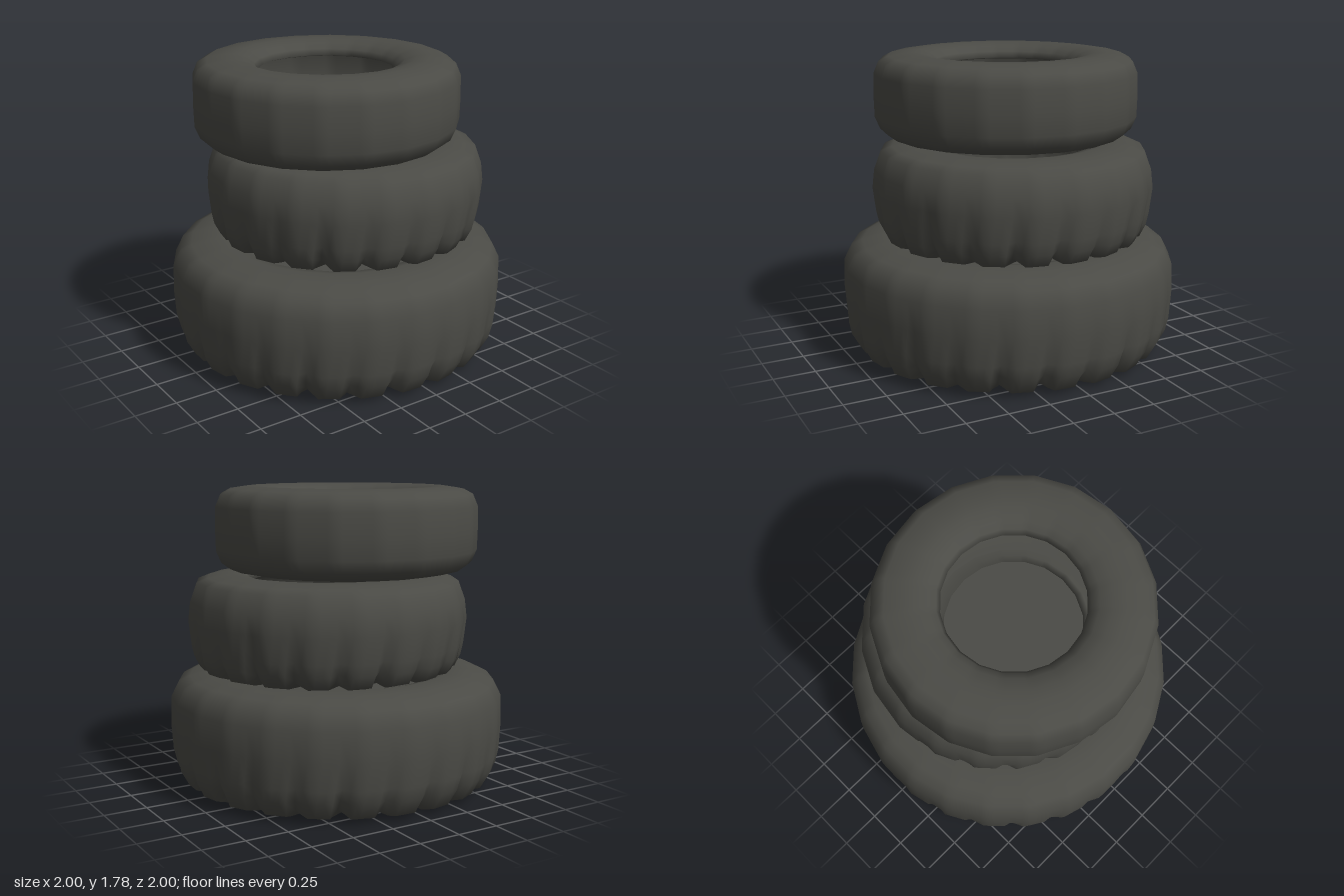
import * as THREE from 'three';
import { mergeVertices } from 'three/addons/utils/BufferGeometryUtils.js';

const STEPS = 6; // columns per side of the tyre

// Hollow ring swept from a closed profile of [radius, height], faceted to `sides`.
// `groove` carves slanted tread notches into the lower outside edge.
function tyreGeometry(profile, sides, phase, groove) {
  const pts = [...profile, profile[0]].map(([r, y]) => new THREE.Vector2(r, y));
  const geo = new THREE.LatheGeometry(pts, sides * STEPS);
  const p = geo.attributes.position;
  const cut = [0, 0, 0, 0, 1, 0.5]; // steep on one flank, soft on the other
  const half = Math.PI / sides;
  for (let i = 0; i < p.count; i++) {
    const column = Math.floor(i / pts.length) % (sides * STEPS);
    const point = pts[i % pts.length];
    let r = point.x, y = point.y;
    let angle = column * half * 2 / STEPS;
    const local = (column % STEPS) * half * 2 / STEPS - half;
    r *= Math.cos(half) / Math.cos(local);
    if (groove && y < groove.top && point.x > groove.inner) {
      const fade = 1 - y / groove.top;
      const side = Math.floor(column / STEPS);
      const depth = cut[column % STEPS] * fade * (0.8 + 0.2 * Math.sin(side * 2.3));
      r -= groove.depth * depth;
      y += groove.lift * depth * fade;
      angle -= groove.slant * fade;
    }
    p.setXYZ(i, r * Math.sin(angle + phase * half), y, r * Math.cos(angle + phase * half));
  }
  geo.deleteAttribute('uv');
  geo.deleteAttribute('normal');
  const welded = mergeVertices(geo, 1e-4);
  welded.computeVertexNormals();
  return welded;
}

export function createModel() {
  const model = new THREE.Group();
  const rubber = new THREE.MeshStandardMaterial({ color: 0x4b4b46, side: THREE.DoubleSide });
  rubber.name = 'dark rubber';

  const add = (name, geometry, x, y, z) => {
    const mesh = new THREE.Mesh(geometry, rubber);
    mesh.name = name;
    mesh.position.set(x, y, z);
    model.add(mesh);
  };
  const disc = (radius) => new THREE.CircleGeometry(radius, 40).rotateX(-Math.PI / 2);

  // Large treaded tyre at the base: outside, then the hollow inside
  add('bottomTyre', tyreGeometry([
    [0.64, 0.07], [0.67, 0.03], [0.73, 0.01], [0.83, 0.0], [0.93, 0.03], [0.98, 0.12], [0.998, 0.2],
    [1.008, 0.36], [1.003, 0.53], [0.955, 0.625], [0.89, 0.655], [0.8, 0.68], [0.7, 0.69],
    [0.62, 0.67], [0.6, 0.63], [0.64, 0.62], [0.8, 0.62], [0.9, 0.57], [0.94, 0.48], [0.94, 0.36],
    [0.92, 0.2], [0.85, 0.1], [0.72, 0.08], [0.66, 0.1],
  ], 24, 1, { top: 0.36, inner: 0.8, depth: 0.055, lift: 0.045, slant: 0.06 }), 0, 0, 0);

  // Treaded tyre in the middle, shifted sideways
  add('middleTyre', tyreGeometry([
    [0.5, 0.06], [0.53, 0.02], [0.6, 0.005], [0.7, 0.0], [0.77, 0.02], [0.805, 0.09], [0.82, 0.16],
    [0.838, 0.31], [0.825, 0.42], [0.785, 0.53], [0.72, 0.555], [0.64, 0.57], [0.55, 0.575],
    [0.48, 0.56], [0.46, 0.52], [0.5, 0.51], [0.65, 0.51], [0.73, 0.47], [0.77, 0.4], [0.78, 0.3],
    [0.75, 0.15], [0.69, 0.08], [0.58, 0.07], [0.52, 0.08],
  ], 20, 0, { top: 0.31, inner: 0.66, depth: 0.055, lift: 0.045, slant: 0.06 }), 0.062, 0.695, 0);

  // Smooth tyre on top
  add('topTyre', tyreGeometry([
    [0.4, 0.07], [0.44, 0.025], [0.5, 0.005], [0.6, 0.0], [0.7, 0.02], [0.755, 0.06], [0.785, 0.13],
    [0.788, 0.25], [0.785, 0.39], [0.755, 0.46], [0.7, 0.49], [0.6, 0.505], [0.53, 0.505],
    [0.46, 0.485], [0.42, 0.455], [0.4, 0.42], [0.43, 0.41], [0.5, 0.45], [0.65, 0.45], [0.73, 0.38],
    [0.735, 0.13], [0.66, 0.06], [0.5, 0.05], [0.44, 0.07],
  ], 20, 0, null), -0.06, 1.275, -0.015);

  // Floors closing the hollow tyres
  add('topTyreFloor', disc(0.5), -0.06, 1.33, -0.015);
  add('bottomTyreCeiling', disc(0.66), 0, 0.64, 0);

  return model;
}
